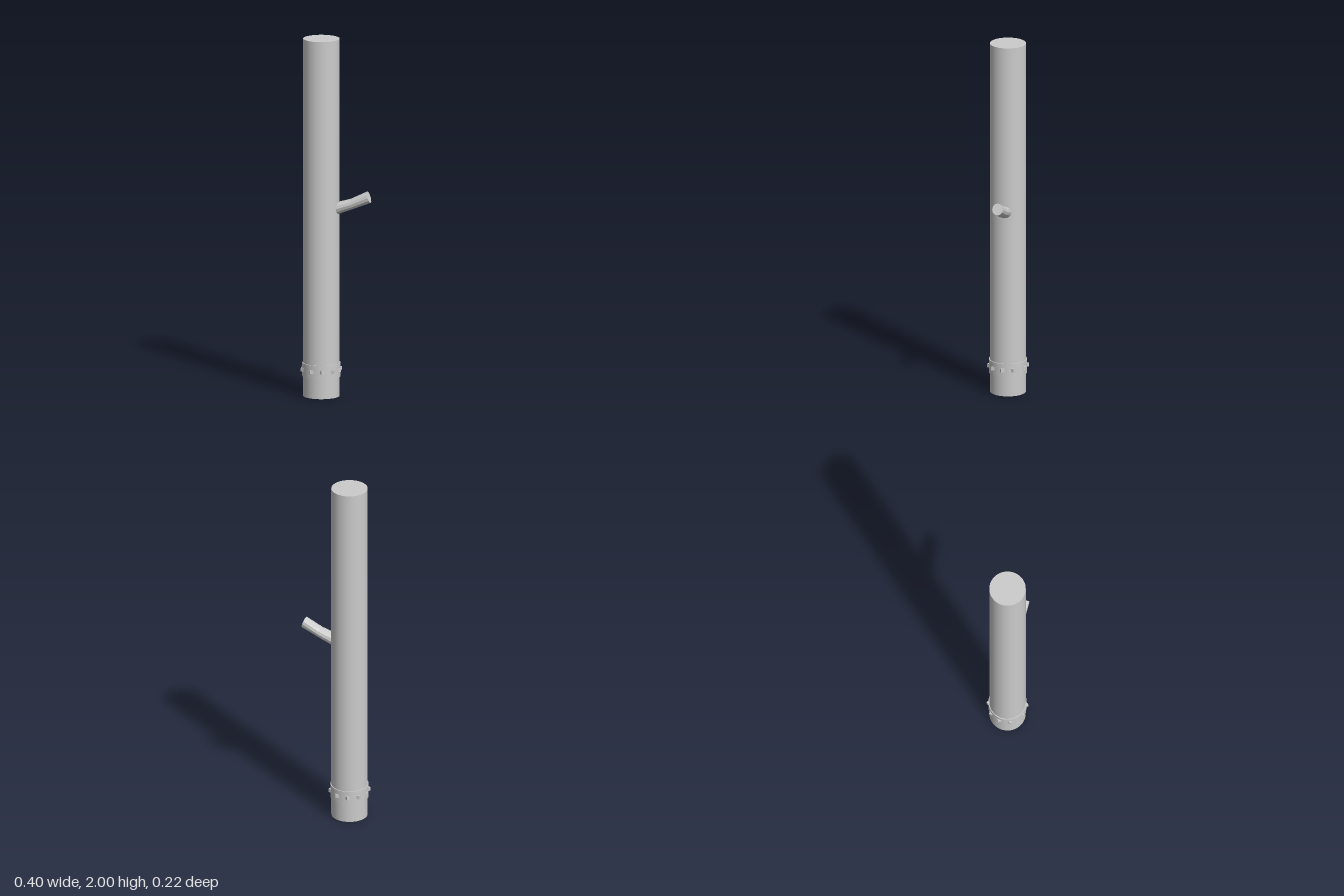
import * as THREE from 'three';

const AXIS_X = -0.086;

// Tapered, slightly bent tube lofted through elliptical rings tilted by a fixed angle
function loftBranch(rings, sides, tilt) {
  const pos = [], idx = [];
  for (const [cx, cy, rv, rz] of rings) {
    for (let i = 0; i < sides; i++) {
      const a = (i / sides) * Math.PI * 2;
      const v = Math.cos(a) * rv;
      pos.push(cx - v * Math.sin(tilt), cy + v * Math.cos(tilt), Math.sin(a) * rz);
    }
  }
  for (let r = 0; r < rings.length - 1; r++) {
    for (let i = 0; i < sides; i++) {
      const j = (i + 1) % sides;
      const a = r * sides + i, b = r * sides + j, c = a + sides, d = b + sides;
      idx.push(a, c, b, b, c, d);
    }
  }
  // End caps as fans
  const last = (rings.length - 1) * sides;
  for (let i = 1; i < sides - 1; i++) {
    idx.push(0, i, i + 1);
    idx.push(last, last + i + 1, last + i);
  }
  const geo = new THREE.BufferGeometry();
  geo.setAttribute('position', new THREE.Float32BufferAttribute(pos, 3));
  geo.setIndex(idx);
  const flat = geo.toNonIndexed();
  flat.computeVertexNormals();
  return flat;
}

export function createModel() {
  const group = new THREE.Group();
  const smooth = new THREE.MeshStandardMaterial({ color: 0xcccccc });
  const faceted = new THREE.MeshStandardMaterial({
    color: 0xcccccc, flatShading: true, side: THREE.DoubleSide,
  });
  const add = (name, geo, mat, x, y, z) => {
    const mesh = new THREE.Mesh(geo, mat);
    mesh.name = name;
    mesh.position.set(x, y, z);
    group.add(mesh);
    return mesh;
  };

  // Main post
  add('post', new THREE.CylinderGeometry(0.1, 0.1, 2, 48), smooth, AXIS_X, 1, 0);

  // Collar near the foot
  add('collar', new THREE.CylinderGeometry(0.105, 0.105, 0.076, 48), smooth, AXIS_X, 0.149, 0);

  // Side branch, rising outwards from the post
  const branch = loftBranch([
    [-0.05, 1.035, 0.034, 0.041],
    [0.01, 1.057, 0.033, 0.039],
    [0.09, 1.084, 0.029, 0.035],
    [0.184, 1.126, 0.033, 0.03],
  ], 12, THREE.MathUtils.degToRad(19));
  add('branch', branch, faceted, 0, 0, 0);

  // Square studs: two opposite runs of five round the collar
  const stud = new THREE.BoxGeometry(0.02, 0.02, 0.02);
  const middle = 39.5;
  for (const half of [0, 180]) {
    for (let i = -2; i <= 2; i++) {
      const turn = THREE.MathUtils.degToRad(half + i * 33.75);
      const a = turn + THREE.MathUtils.degToRad(middle);
      const mesh = add('stud', stud, smooth,
        AXIS_X + Math.cos(a) * 0.102, 0.15, Math.sin(a) * 0.102);
      mesh.rotation.y = -turn;
    }
  }
  return group;
}
